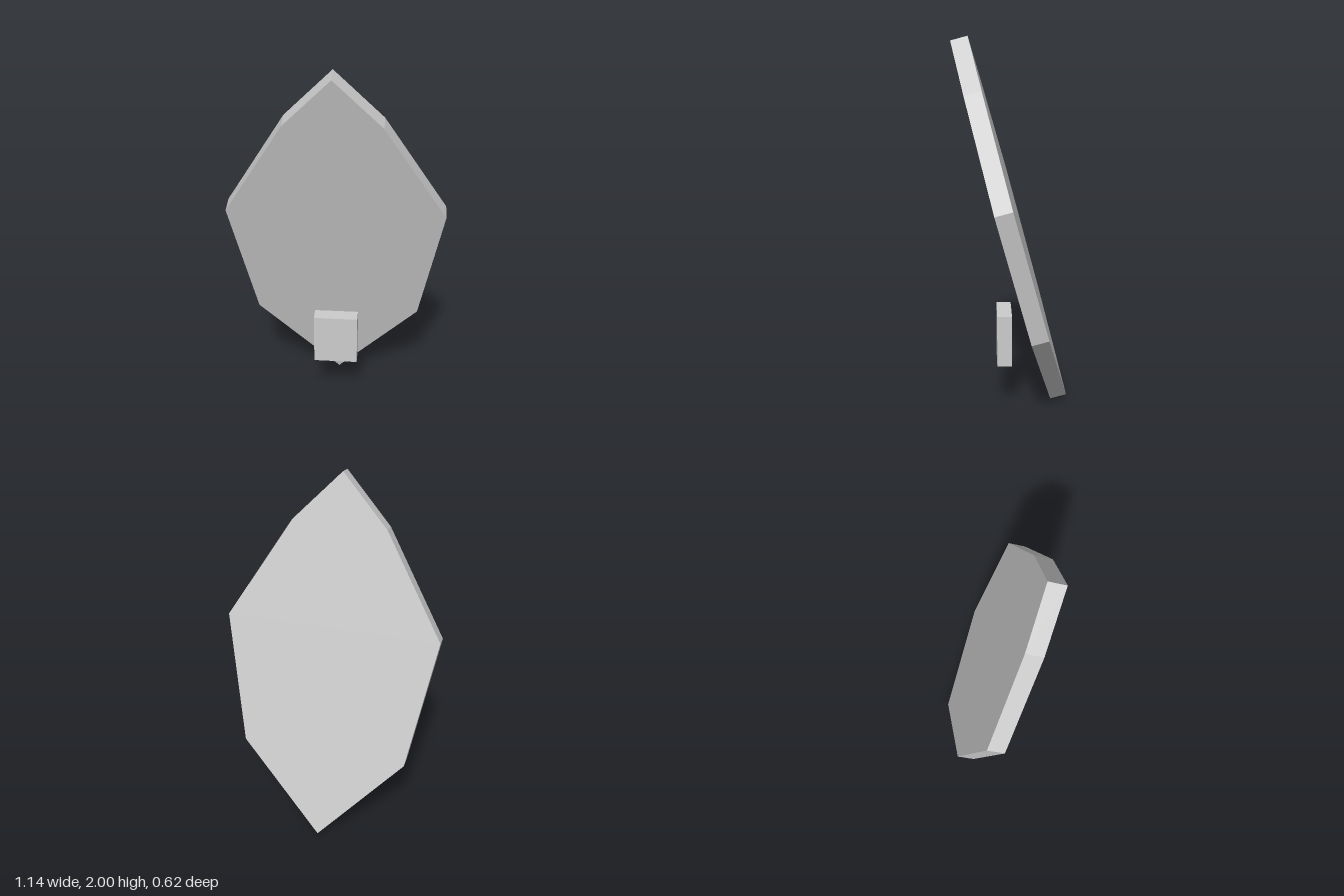
import * as THREE from 'three';

export function createModel() {
  const group = new THREE.Group();
  const grey = new THREE.MeshStandardMaterial({ color: 0xcccccc });
  grey.name = 'light grey';

  // Leaf-shaped slab: half outline (x, distance from the bottom tip), mirrored
  const half = [[0.45, 0.515], [0.57, 1.233], [0.245, 1.782]];
  const outline = [
    [0, 0], ...half, [0, 2.045],
    ...half.map(([x, y]) => [-x, y]).reverse(),
  ].map(([x, y]) => new THREE.Vector2(x, y));

  const thickness = 0.092;
  const slabGeometry = new THREE.ExtrudeGeometry(new THREE.Shape(outline), {
    depth: thickness, bevelEnabled: false,
  });
  slabGeometry.translate(0, 0, -thickness); // front face on the pivot plane
  const slab = new THREE.Mesh(slabGeometry, grey);
  slab.name = 'shieldSlab';
  slab.rotation.x = THREE.MathUtils.degToRad(15); // top leans forward
  slab.position.set(0, 0.003, -0.219);
  group.add(slab);

  // Small upright block in front of the lower tip
  const block = new THREE.Mesh(new THREE.BoxGeometry(0.24, 0.286, 0.08), grey);
  block.name = 'frontBlock';
  block.position.set(0, 0.394, 0.04);
  group.add(block);

  return group;
}
